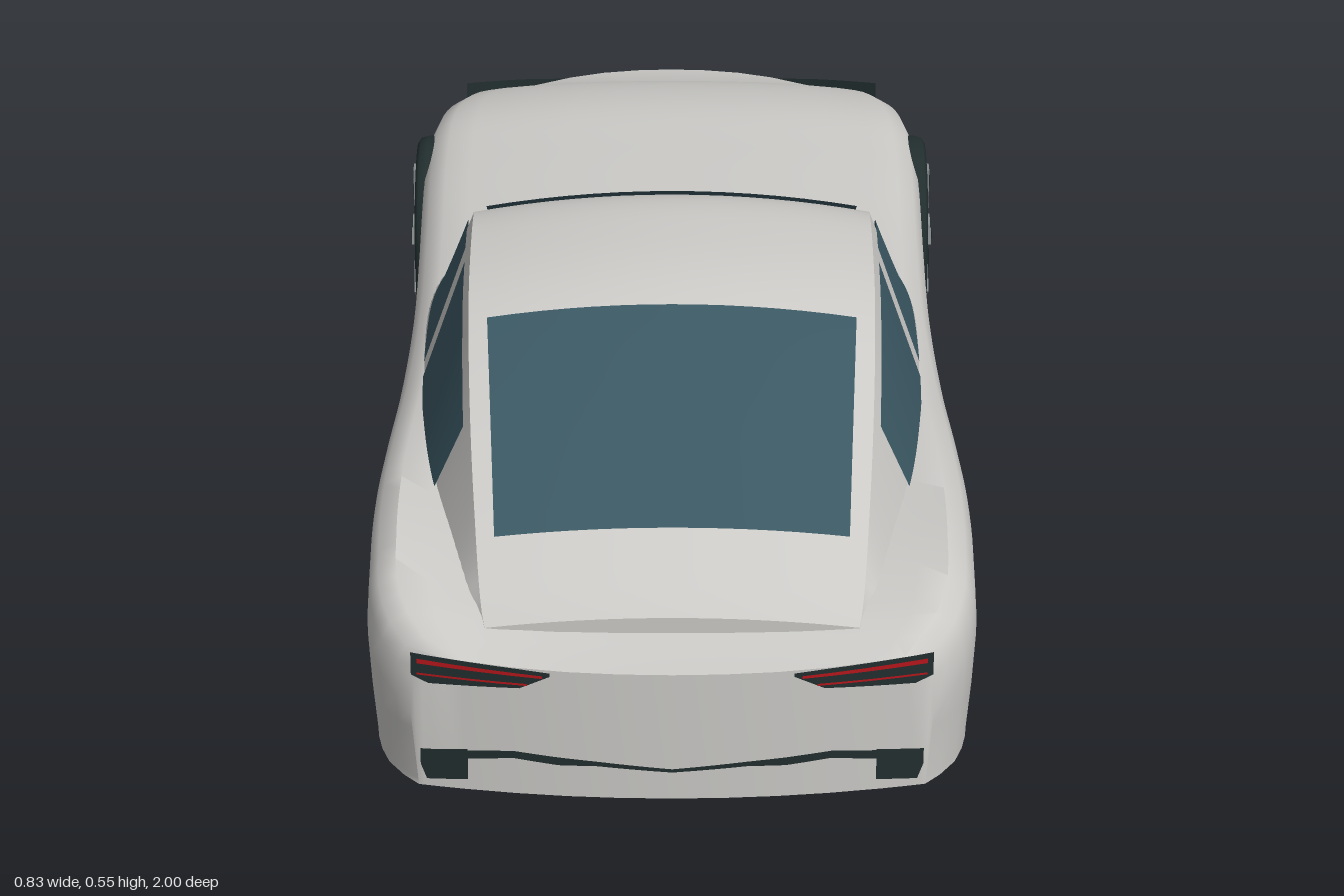
import * as THREE from 'three';
import { mergeGeometries, toCreasedNormals } from 'three/addons/utils/BufferGeometryUtils.js';

const material = (name, color, side = THREE.FrontSide) => {
  const m = new THREE.MeshStandardMaterial({ color, side });
  m.name = name;
  return m;
};

// Surface through rows of points
function grid(rows) {
  const n = rows[0].length, index = [];
  for (let v = 0; v < rows.length - 1; v++) {
    for (let u = 0; u < n - 1; u++) {
      const a = v * n + u, b = a + 1, c = a + n, d = c + 1;
      index.push(a, b, c, b, d, c);
    }
  }
  const g = new THREE.BufferGeometry();
  g.setAttribute('position', new THREE.Float32BufferAttribute(rows.flat(2), 3));
  g.setIndex(index);
  g.computeVertexNormals();
  return g;
}

// Smooth lookup of station values [z, ...values]
function stations(table) {
  const size = table[0].length - 1;
  const spline = new THREE.CubicInterpolant(table.map(r => r[0]), table.flatMap(r => r.slice(1)), size);
  return z => Array.from(spline.evaluate(z));
}

const range = (a, b, n) => Array.from({ length: n + 1 }, (_, i) => a + (b - a) * i / n);
const FLOOR = 0.065;
const noseZ = x => -0.995 + 0.75 * x * x;
const tailZ = x => 0.994 - 0.32 * x * x;

// z, half width, shoulder height, centre height
const bodyAt = stations([
  [-0.936, 0.28, 0.22, 0.235], [-0.88, 0.325, 0.25, 0.265], [-0.78, 0.365, 0.285, 0.305],
  [-0.65, 0.387, 0.31, 0.33], [-0.5, 0.393, 0.31, 0.33], [-0.25, 0.39, 0.305, 0.325],
  [0, 0.387, 0.31, 0.325], [0.25, 0.393, 0.32, 0.325], [0.45, 0.403, 0.335, 0.32],
  [0.6, 0.41, 0.338, 0.31], [0.75, 0.41, 0.33, 0.295], [0.86, 0.402, 0.308, 0.282],
  [0.925, 0.375, 0.285, 0.27], [0.955, 0.345, 0.265, 0.255],
]);

// z, base half width, rail half width, rail height, centre height
const cabinAt = stations([
  [-0.15, 0.33, 0.30, 0.315, 0.33], [-0.08, 0.355, 0.292, 0.352, 0.376], [0, 0.364, 0.288, 0.415, 0.445],
  [0.08, 0.366, 0.286, 0.485, 0.512], [0.14, 0.366, 0.285, 0.512, 0.54], [0.27, 0.365, 0.284, 0.525, 0.55],
  [0.42, 0.36, 0.282, 0.51, 0.535], [0.6, 0.342, 0.275, 0.445, 0.468], [0.75, 0.305, 0.265, 0.37, 0.388],
  [0.9, 0.262, 0.25, 0.285, 0.30], [0.915, 0.258, 0.247, 0.28, 0.295],
]);

function bodyGeometry() {
  const topLine = z => {
    const [w, s, c] = bodyAt(z);
    const half = [
      [w * 0.975, 0.075], [w - 0.004, 0.15], [w, s - 0.09], [w - 0.004, s - 0.04],
      [w - 0.016, s - 0.014], [w - 0.04, s],
      ...[[0.8, 0.25], [0.6, 0.65], [0.4, 0.88], [0.2, 0.97], [0, 1]].map(([k, t]) => [w * k, s + (c - s) * t]),
    ];
    return { w, line: [...half, ...half.slice(0, -1).reverse().map(([x, y]) => [-x, y])] };
  };
  const section = (z, endZ) => {
    const { w, line } = topLine(z);
    const zAt = x => (endZ ? endZ(x) : z);
    const lim = w * 0.975;
    return {
      top: line.map(([x, y]) => [x, y, zAt(x)]),
      bottom: line.map(([x]) => THREE.MathUtils.clamp(x, -lim, lim)).map(x => [x, FLOOR, zAt(x)]),
    };
  };
  const nose = section(-0.936, noseZ), tail = section(0.955, tailZ);
  const all = [nose, ...range(-0.915, 0.935, 56).map(z => section(z)), tail];
  const shell = grid(all.map(({ top, bottom }) => [...top, ...[...bottom].reverse(), top[0]]));
  const noseCap = grid([nose.bottom, nose.top]);
  const tailCap = grid([[...tail.bottom].reverse(), [...tail.top].reverse()]);
  return toCreasedNormals(mergeGeometries([shell, noseCap, tailCap]), 0.7);
}

function roofPoint(x, z, lift = 0) {
  const [, r, yr, yc] = cabinAt(z);
  const slope = (cabinAt(z + 0.01)[3] - cabinAt(z - 0.01)[3]) / 0.02, len = Math.hypot(1, slope);
  return [x, yr + (yc - yr) * (1 - (x / r) ** 2) + lift / len, z - lift * slope / len];
}

function cabinGeometry() {
  const rows = range(-0.15, 0.915, 48).map(z => {
    const [b, r, yr] = cabinAt(z);
    const base = Math.min(0.29, yr - 0.025);
    return [[b, base, z], ...range(r, -r, 16).map(x => roofPoint(x, z)), [-b, base, z]];
  });
  const sink = row => row.map(([x, , z]) => [x, 0.25, z]);
  return toCreasedNormals(grid([sink(rows[0]), ...rows, sink(rows[rows.length - 1])]), 0.6);
}

// Glass following the upper surface
const topGlass = (z0, z1, w0, w1) => grid(range(0, 1, 14).map(t => {
  const w = w0 + (w1 - w0) * t;
  return range(w, -w, 14).map(x => roofPoint(x, z0 + (z1 - z0) * t, 0.005));
}));

// Glass following the flank
const sideGlass = (z0, z1, side) => grid(range(z0, z1, 16).map(z => {
  const [b, r, yr] = cabinAt(z);
  return [0.33, yr - 0.013].map(y => [side * (r + (b - r) * (yr - y) / (yr - 0.29) + 0.004), y, z]);
}));

// Thin curved strip from [x, low, high] points
function strip(points, zAt, side = 1) {
  const cols = [];
  points.slice(0, -1).forEach((p, i) => {
    for (let k = 0; k < 4; k++) cols.push(p.map((v, j) => v + (points[i + 1][j] - v) * k / 4));
  });
  cols.push(points[points.length - 1]);
  return grid([1, 2].map(j => cols.map(c => [side * c[0], c[j], zAt(c[0])])));
}

export function createModel() {
  const car = new THREE.Group();
  car.name = 'coupe';
  const paint = material('silverPaint', 0xcbcac7);
  const glass = material('tintedGlass', 0x3b5863, THREE.DoubleSide);
  const dark = material('darkRubber', 0x222e2e, THREE.DoubleSide);
  const metal = material('wheelMetal', 0x858b8b);
  const red = material('redLamp', 0xb5161b, THREE.DoubleSide);
  const add = (name, geometry, mat, parent = car) => {
    const mesh = new THREE.Mesh(geometry, mat);
    mesh.name = name;
    parent.add(mesh);
    return mesh;
  };

  add('body', bodyGeometry(), paint);
  add('cabin', cabinGeometry(), paint);
  add('windscreen', topGlass(-0.13, 0.11, 0.27, 0.268), glass);
  add('rearWindow', topGlass(0.46, 0.795, 0.255, 0.237), glass);

  // Lamps and bumper trim, mirrored
  const rear = lift => x => tailZ(x) + lift;
  const front = lift => x => -0.999 + 0.6 * x * x - lift;
  for (const side of [1, -1]) {
    const n = side > 0 ? 'left' : 'right';
    add(n + 'FrontSideWindow', sideGlass(-0.06, 0.25, side), glass);
    add(n + 'RearSideWindow', sideGlass(0.295, 0.62, side), glass);
    add(n + 'TailLampHousing', strip([[0.16, 0.25, 0.255], [0.2, 0.23, 0.259], [0.32, 0.226, 0.268], [0.343, 0.236, 0.27]], rear(0.004), side), dark);
    add(n + 'TailLampUpper', strip([[0.17, 0.248, 0.252], [0.335, 0.256, 0.263]], rear(0.007), side), red);
    add(n + 'TailLampLower', strip([[0.19, 0.236, 0.239], [0.335, 0.239, 0.242]], rear(0.007), side), red);
    add(n + 'RearVent', strip([[0.27, 0.083, 0.13], [0.325, 0.078, 0.124], [0.333, 0.1, 0.124]], rear(0.004), side), dark);
    add(n + 'RearBumperLine', strip([[0, 0.108, 0.113], [0.1, 0.116, 0.123], [0.15, 0.115, 0.127], [0.21, 0.122, 0.133], [0.27, 0.115, 0.128]], rear(0.004), side), dark);
    add(n + 'HeadLamp', strip([[0.18, 0.218, 0.224], [0.24, 0.2, 0.23], [0.34, 0.205, 0.238]], front(0.002), side), dark);
    add(n + 'HeadLampAccent', strip([[0.24, 0.207, 0.212], [0.338, 0.211, 0.218]], front(0.005), side), red);
    add(n + 'FrontGrille', strip([[0, 0.125, 0.145], [0.1, 0.125, 0.155], [0.17, 0.118, 0.135], [0.23, 0.1, 0.145], [0.32, 0.1, 0.18]], front(0.002), side), dark);
    add(n + 'FrontLip', strip([[0, 0.067, 0.075], [0.34, 0.067, 0.075]], front(0.002), side), dark);
  }

  // Wheels, with the axle along x
  const tyreProfile = [[0.106, 0.30], [0.135, 0.30], [0.144, 0.305], [0.147, 0.318], [0.147, 0.388],
    [0.144, 0.4], [0.136, 0.405], [0.116, 0.405], [0.108, 0.4], [0.106, 0.375], [0.106, 0.30]];
  const tyre = new THREE.LatheGeometry(tyreProfile.map(p => new THREE.Vector2(...p)), 40).rotateZ(-Math.PI / 2);
  const backing = new THREE.CylinderGeometry(0.107, 0.107, 0.06, 32).rotateZ(Math.PI / 2).translate(0.342, 0, 0);
  const rim = new THREE.TorusGeometry(0.107, 0.004, 6, 40).rotateY(Math.PI / 2).translate(0.402, 0, 0);
  const hub = new THREE.CylinderGeometry(0.022, 0.026, 0.03, 20).rotateZ(-Math.PI / 2).translate(0.399, 0, 0);
  const cap = new THREE.CylinderGeometry(0.011, 0.011, 0.004, 16).rotateZ(-Math.PI / 2).translate(0.415, 0, 0);
  const spokeShape = new THREE.Shape([[-0.008, 0.015], [0.008, 0.015], [0.013, 0.107], [-0.013, 0.107]].map(p => new THREE.Vector2(...p)));
  const spoke = new THREE.ExtrudeGeometry(spokeShape, { depth: 0.025, bevelEnabled: false })
    .rotateY(Math.PI / 2).translate(0.386, 0, 0);
  const grooveShape = new THREE.Shape([[-0.002, 0.035], [0.002, 0.035], [0.005, 0.1], [-0.005, 0.1]].map(p => new THREE.Vector2(...p)));
  const groove = new THREE.ShapeGeometry(grooveShape).rotateY(Math.PI / 2).translate(0.412, 0, 0);
  for (const [end, z] of [['front', -0.57], ['rear', 0.57]]) {
    for (const side of [1, -1]) {
      const wheel = new THREE.Group();
      wheel.name = end + (side > 0 ? 'Left' : 'Right') + 'Wheel';
      add('tyre', tyre, dark, wheel);
      add('wheelBacking', backing, dark, wheel);
      add('rim', rim, metal, wheel);
      add('hub', hub, metal, wheel);
      add('hubCap', cap, dark, wheel);
      for (let i = 0; i < 5; i++) {
        const a = i * Math.PI * 2 / 5;
        add('spoke', spoke, metal, wheel).rotation.x = a;
        add('spokeGroove', groove, dark, wheel).rotation.x = a;
      }
      wheel.position.set(0, 0.147, z);
      if (side < 0) wheel.rotation.y = Math.PI;
      car.add(wheel);
    }
  }
  return car;
}
